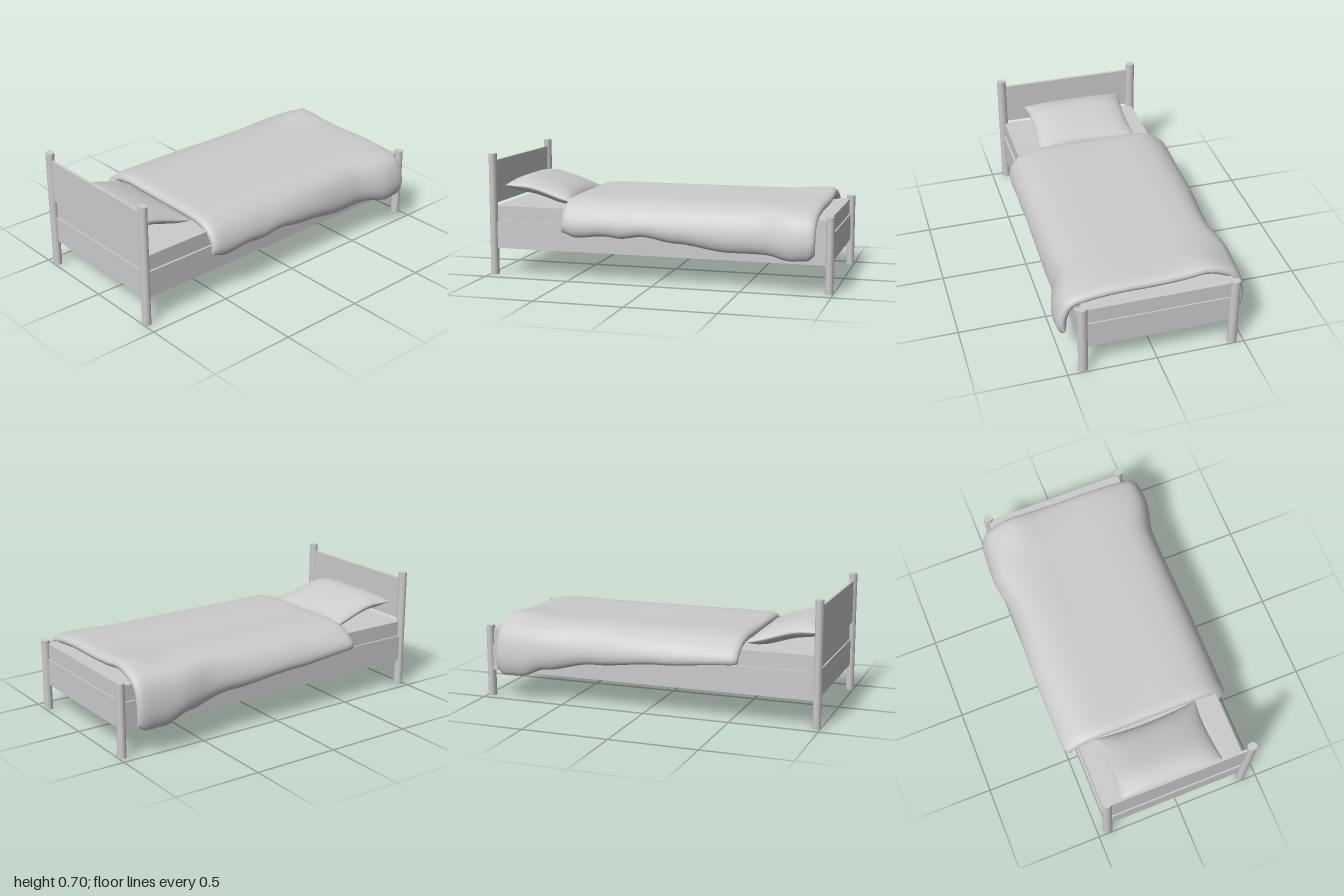
import * as THREE from 'three';

const mat = new THREE.MeshStandardMaterial({ color: 0xcccccc, side: THREE.DoubleSide });

// piecewise-smooth interpolation through [x, value] pairs
function at(x, table) {
  if (x <= table[0][0]) return table[0][1];
  for (let i = 1; i < table.length; i++) {
    const [x0, a] = table[i - 1], [x1, b] = table[i];
    if (x <= x1) {
      const k = (x - x0) / (x1 - x0);
      return a + (b - a) * k * k * (3 - 2 * k);
    }
  }
  return table[table.length - 1][1];
}

// closed soft body: rings along x, fn(u, cos, sin) with u from -1 to 1
function softBody(nu, nv, fn) {
  const pos = [], idx = [];
  for (let i = 0; i <= nu; i++) {
    const u = -Math.cos((i / nu) * Math.PI);
    for (let j = 0; j < nv; j++) {
      const a = (j / nv) * Math.PI * 2;
      pos.push(...fn(u, Math.cos(a), Math.sin(a)));
      if (i === nu) continue;
      const k = (j + 1) % nv, p = i * nv, q = p + nv;
      idx.push(p + j, q + j, q + k, p + j, q + k, p + k);
    }
  }
  const g = new THREE.BufferGeometry();
  g.setAttribute('position', new THREE.Float32BufferAttribute(pos, 3));
  g.setIndex(idx);
  g.computeVertexNormals();
  return g;
}

// rounded falloff to zero at the rim
const rim = (s, power, round) => Math.pow(Math.max(0, 1 - Math.pow(Math.abs(s), power)), round);

function duvetGeometry() {
  const frontHem = [[-0.55, 0.27], [-0.46, 0.245], [-0.29, 0.26], [-0.2, 0.25], [-0.07, 0.268], [0.12, 0.24],
    [0.43, 0.203], [0.64, 0.205], [0.78, 0.183], [0.87, 0.19], [0.91, 0.22]];
  const backHem = [[-0.55, 0.33], [-0.1, 0.29], [0.3, 0.25], [0.6, 0.2], [0.75, 0.148], [0.86, 0.145], [0.91, 0.17]];
  const frontZ = [[0.55, 0.48], [0.8, 0.53]];
  const backZ = [[-0.05, -0.53], [0.4, -0.512], [0.65, -0.54], [0.9, -0.53]];
  let lastU = null, curve;
  return softBody(60, 96, (u, c, s) => {
    const x = 0.18 + 0.73 * u;
    if (u !== lastU) {
      // drape centreline from front hem, over the mattress, to back hem
      const hf = at(x, frontHem), hb = at(x, backHem);
      const zf = at(x, frontZ) - 0.033, zb = at(x, backZ) + 0.033;
      const bump = at(x, [[0.6, 0], [0.88, 0.02]]);
      curve = new THREE.CatmullRomCurve3([
        [hf, zf - 0.005], [(hf + 0.37) / 2, zf], [0.385, zf - 0.04], [0.422 - bump / 2, zf - 0.11],
        [0.433, 0.2], [0.434, 0], [0.435 + bump / 3, -0.17], [0.436 + bump, -0.3], [0.42 + bump / 3, -0.4],
        [0.385, zb + 0.035], [(hb + 0.37) / 2, zb], [hb, zb + 0.005],
      ].map(([y, z]) => new THREE.Vector3(0, y, z)));
      lastU = u;
    }
    const t = (1 - c) / 2;
    const p = curve.getPoint(t), d = curve.getTangent(t);
    const h = 0.033 * rim(c, 14, 0.5) * rim(u, 30, 0.5) * Math.sign(s);
    return [x, p.y - d.z * h, p.z + d.y * h];
  });
}

function pillowGeometry() {
  const lean = [[-0.96, 0.502], [-0.88, 0.497], [-0.52, 0.418]];
  return softBody(32, 56, (u, c, s) => {
    // edges pulled in between pointed corners
    const x = -0.757 + u * (0.208 - 0.022 * (1 - c * c) * (u > 0 ? 1 : 0.4));
    const z = -0.037 + c * (0.312 - 0.02 * (1 - u * u));
    const h = 0.057 * rim(c, 3.5, 0.6) * rim(u, 4, 0.55) * Math.sign(s);
    return [x, at(x, lean) + h, z];
  });
}

export function createModel() {
  const bed = new THREE.Group();
  bed.name = 'bed';
  const add = (name, geometry, x = 0, y = 0, z = 0) => {
    const m = new THREE.Mesh(geometry, mat);
    m.name = name;
    m.position.set(x, y, z);
    bed.add(m);
    return m;
  };
  const slab = (name, x0, x1, y0, y1, z0, z1) =>
    add(name, new THREE.BoxGeometry(x1 - x0, y1 - y0, z1 - z0), (x0 + x1) / 2, (y0 + y1) / 2, (z0 + z1) / 2);

  // corner posts, taller at the head
  for (const [end, x, h] of [['head', -0.977, 0.705], ['foot', 0.977, 0.42]])
    for (const [side, z] of [['Left', 0.41], ['Right', -0.437]]) {
      const post = add(end + 'Post' + side, new THREE.CylinderGeometry(0.0235, 0.0235, h, 12), x, h / 2, z);
      post.scale.z = 1.18;
    }

  // frame, mattress and headboard
  slab('frame', -0.978, 0.978, 0.155, 0.31, -0.453, 0.417);
  slab('mattress', -0.97, 0.97, 0.31, 0.4, -0.442, 0.405);
  slab('headboard', -0.985, -0.97, 0.415, 0.663, -0.437, 0.41);

  // bedding
  add('pillow', pillowGeometry());
  add('duvet', duvetGeometry());
  return bed;
}
